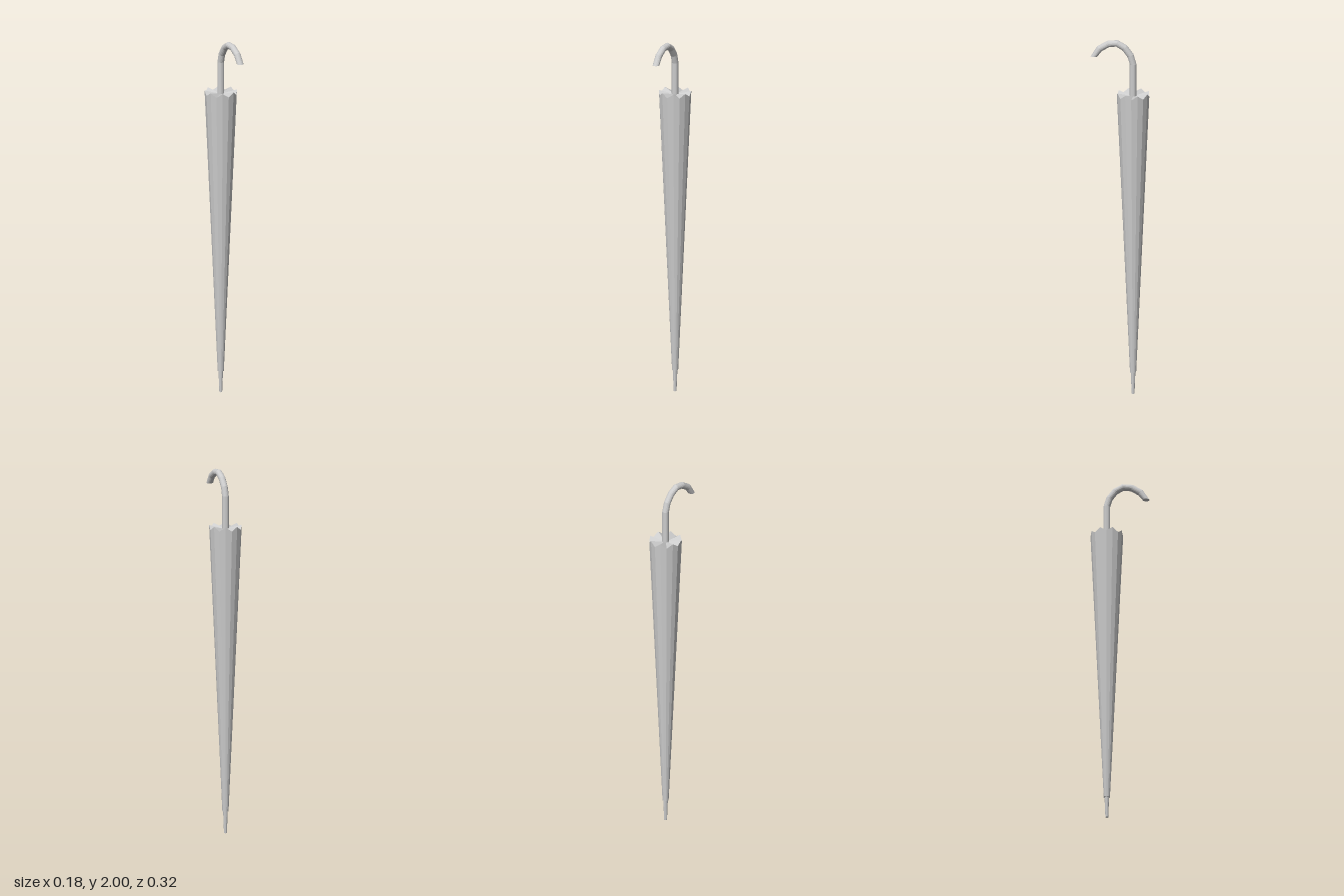
import * as THREE from 'three';

const SIDES = 16;
const AXIS_Z = -0.072;

// A closed, flat-shaded skin over a stack of rings, ordered from bottom to top
function loft(name, rings, material) {
  const positions = rings.flat().flatMap((p) => p.toArray());
  const index = [];
  for (let i = 0; i < rings.length - 1; i++) {
    for (let j = 0; j < SIDES; j++) {
      const k = (j + 1) % SIDES;
      const a = i * SIDES + j, b = i * SIDES + k;
      index.push(a, a + SIDES, b, b, a + SIDES, b + SIDES);
    }
  }
  const geometry = new THREE.BufferGeometry();
  geometry.setAttribute('position', new THREE.Float32BufferAttribute(positions, 3));
  geometry.setIndex(index);
  geometry.computeVertexNormals();
  const mesh = new THREE.Mesh(geometry, material);
  mesh.name = name;
  return mesh;
}

// Ring around a point in the x = 0 plane, square to the direction (dy, dz)
function ring(y, z, radius, dy = 1, dz = 0, lift = () => 0) {
  const length = Math.hypot(dy, dz);
  return Array.from({ length: SIDES }, (_, j) => {
    const angle = (j / SIDES) * Math.PI * 2;
    const s = radius * Math.sin(angle);
    return new THREE.Vector3(
      radius * Math.cos(angle),
      y - (s * dz) / length + lift(j),
      z + (s * dy) / length
    );
  });
}

export function createModel() {
  const group = new THREE.Group();
  group.name = 'closedUmbrella';
  const grey = new THREE.MeshStandardMaterial({ color: 0xcccccc, flatShading: true });
  grey.name = 'light grey';

  // Furled canopy with a zigzag rim folded in towards the shaft
  const zigzag = (j) => (j % 2 ? 0.022 : 0);
  group.add(loft('canopy', [
    ring(0.12, AXIS_Z, 0),
    ring(0.12, AXIS_Z, 0.017),
    ring(1.684, AXIS_Z, 0.089, 1, 0, zigzag),
    ring(1.684, AXIS_Z, 0),
  ], grey));

  // Tapered ferrule
  group.add(loft('tip', [
    ring(0, AXIS_Z, 0),
    ring(0, AXIS_Z, 0.008),
    ring(0.13, AXIS_Z, 0.013),
    ring(0.13, AXIS_Z, 0),
  ], grey));

  // Shaft and crook handle, as centre points [y, z]
  const path = [
    [1.66, AXIS_Z], [1.865, AXIS_Z], [1.913, -0.058], [1.956, -0.026],
    [1.98, 0.016], [1.976, 0.063], [1.947, 0.112], [1.903, 0.142],
  ];
  const handle = path.map(([y, z], i) => {
    const before = path[Math.max(i - 1, 0)];
    const after = path[Math.min(i + 1, path.length - 1)];
    // The crook ends in a level cut
    const last = i === path.length - 1;
    const dy = last ? -1 : i === 0 ? 1 : after[0] - before[0];
    const dz = last || i === 0 ? 0 : after[1] - before[1];
    return ring(y, z, 0.0185, dy, dz);
  });
  const [endY, endZ] = path[path.length - 1];
  group.add(loft('handle', [
    ring(1.66, AXIS_Z, 0), ...handle, ring(endY, endZ, 0, -1, 0),
  ], grey));

  return group;
}
